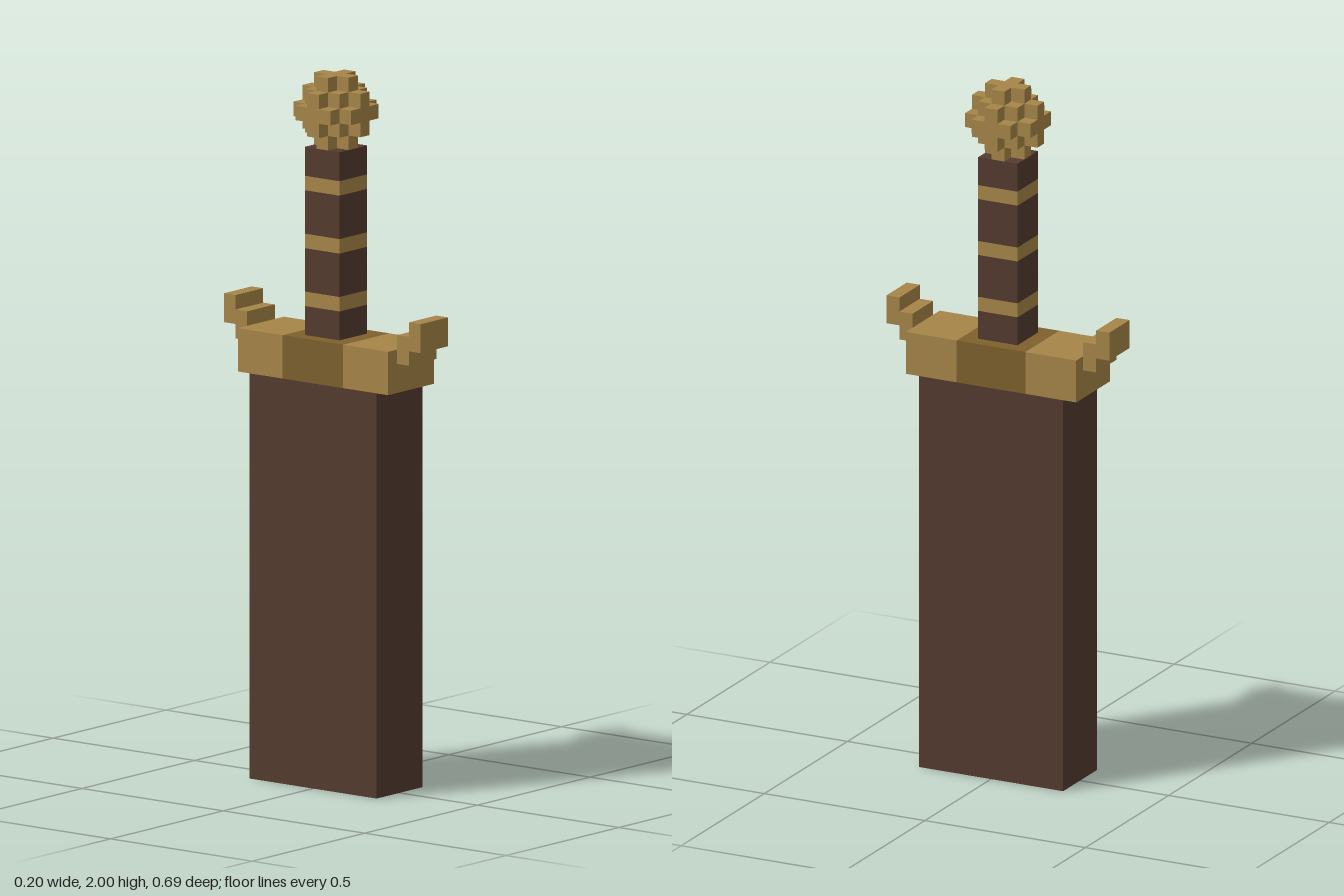
import * as THREE from 'three';

const U = 2 / 49; // one block of the grid the model is built on

const material = (name, color) => {
  const m = new THREE.MeshStandardMaterial({ color });
  m.name = name;
  return m;
};

export function createModel() {
  const gold = material('gold', 0xa68648);
  const darkGold = material('darkGold', 0x7e602d);
  const leather = material('leather', 0x543b2f);

  const model = new THREE.Group();
  model.name = 'sheathedSword';

  const addGroup = (name) => {
    const g = new THREE.Group();
    g.name = name;
    model.add(g);
    return g;
  };

  // Box in block units: size, bottom height and z centre
  const block = (parent, name, mat, w, h, d, bottom, z = 0) => {
    const mesh = new THREE.Mesh(new THREE.BoxGeometry(w * U, h * U, d * U), mat);
    mesh.position.set(0, (bottom + h / 2) * U, z * U);
    mesh.name = name;
    parent.add(mesh);
  };

  // Sheath: hollow rectangular tube, open at the bottom
  const rectangle = (path, w, d) => {
    const x = (w * U) / 2, y = (d * U) / 2;
    return path.moveTo(-x, -y).lineTo(x, -y).lineTo(x, y).lineTo(-x, y).lineTo(-x, -y);
  };
  const outline = rectangle(new THREE.Shape(), 5, 11);
  outline.holes.push(rectangle(new THREE.Path(), 3, 9));
  const tube = new THREE.ExtrudeGeometry(outline, { depth: 28 * U, bevelEnabled: false });
  tube.rotateX(-Math.PI / 2);
  const sheath = new THREE.Mesh(tube, leather);
  sheath.name = 'sheath';
  model.add(sheath);

  // Guard: dark middle, gold ends and stepped upturned tips
  const guard = addGroup('guard');
  const half = 2.62;
  block(guard, 'guardCentre', darkGold, 5, 3, half * 2, 28);
  for (const s of [-1, 1]) {
    block(guard, 'guardEnd', gold, 5, 3, 6.5 - half, 28, s * (6.5 + half) / 2);
    block(guard, 'guardTipInner', gold, 3, 2, 1, 30, s * 7);
    block(guard, 'guardTipOuter', gold, 3, 2, 1, 31, s * 8);
  }

  // Grip: leather sections alternating with gold bands
  const grip = addGroup('grip');
  const levels = [31, 33, 34, 37, 38, 41, 42, 44];
  for (let i = 0; i < levels.length - 1; i++) {
    const band = i % 2 === 1;
    block(grip, band ? 'gripBand' : 'gripLeather', band ? gold : leather,
      3, levels[i + 1] - levels[i], 3, levels[i]);
  }

  // Pommel: cubic core with a raised cross on each of its six faces
  const pommel = addGroup('pommel');
  block(pommel, 'pommelCore', gold, 3, 3, 3, 45);
  const crossBars = [[1, 3, 5], [1, 5, 3], [3, 1, 5], [3, 5, 1], [5, 1, 3], [5, 3, 1]];
  for (const [w, h, d] of crossBars) {
    block(pommel, 'pommelCross', gold, w, h, d, 46.5 - h / 2);
  }

  return model;
}
